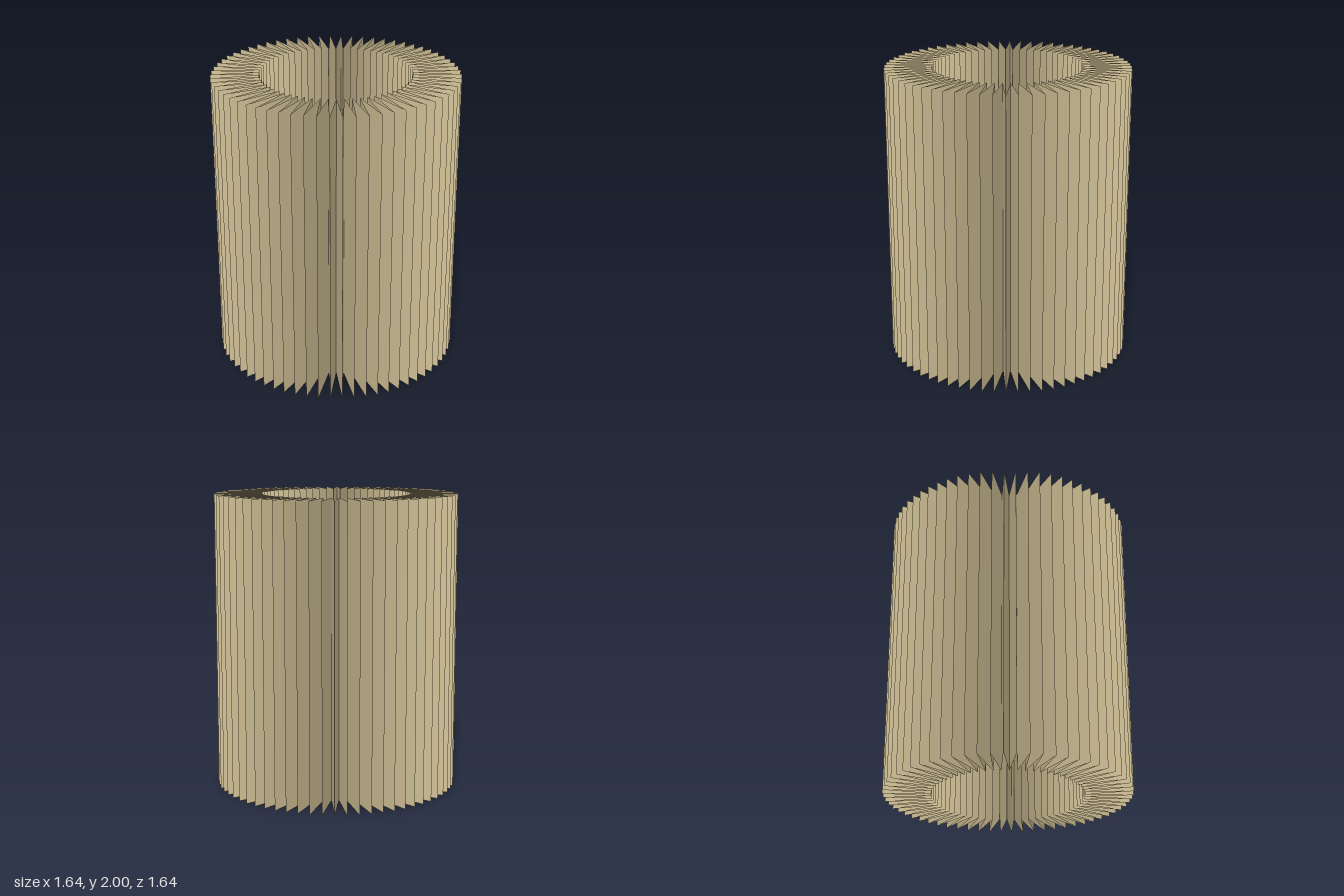
import * as THREE from 'three';

const PLEATS = 64;
const OUTER = 0.822;
const INNER = 0.503;
const HEIGHT = 2;

// Open tube whose columns alternate between outer fold and inner fold
function pleatedWall() {
  const segments = PLEATS * 2;
  const geometry = new THREE.CylinderGeometry(1, 1, HEIGHT, segments, 1, true);
  const pos = geometry.attributes.position;
  for (let i = 0; i < pos.count; i++) {
    const column = i % (segments + 1);
    const radius = column % 2 === 0 ? OUTER : INNER;
    pos.setXYZ(i, pos.getX(i) * radius, pos.getY(i) + HEIGHT / 2, pos.getZ(i) * radius);
  }
  const flat = geometry.toNonIndexed();
  flat.computeVertexNormals();
  return flat;
}

export function createModel() {
  const group = new THREE.Group();
  group.name = 'pleatedCylinder';

  // Thin folded sheet, seen from inside and outside
  const paper = new THREE.MeshStandardMaterial({
    color: 0xd8c79b,
    flatShading: true,
    side: THREE.DoubleSide,
  });
  const wall = new THREE.Mesh(pleatedWall(), paper);
  wall.name = 'pleatedWall';
  group.add(wall);

  return group;
}
